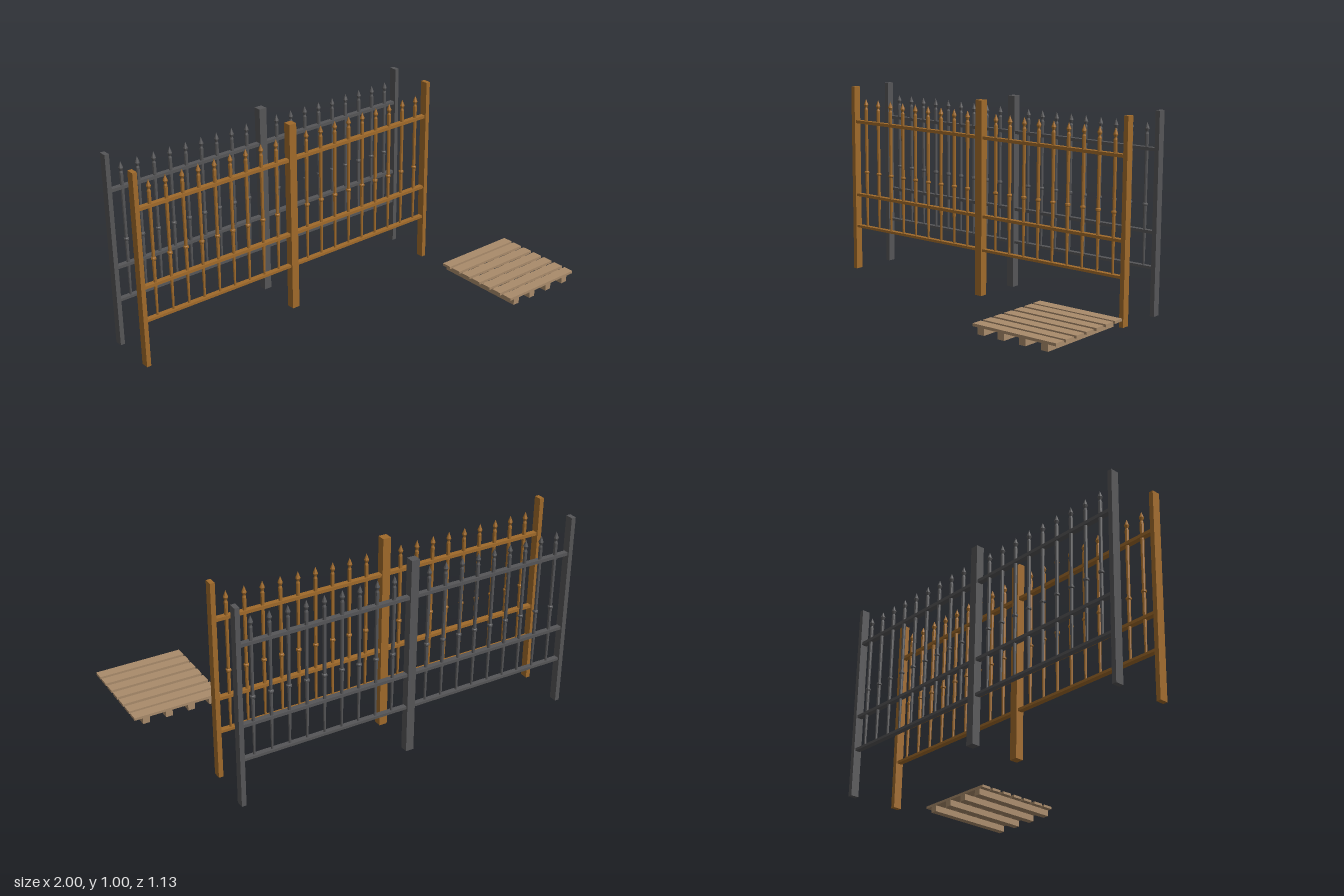
import * as THREE from 'three';

const mat = (name, color) => {
  const m = new THREE.MeshStandardMaterial({ color });
  m.name = name;
  return m;
};

function box(parent, name, material, w, h, d, x, y, z) {
  const mesh = new THREE.Mesh(new THREE.BoxGeometry(w, h, d), material);
  mesh.name = name;
  mesh.position.set(x, y, z);
  parent.add(mesh);
  return mesh;
}

// Turned picket: thin foot, swelling shaft, collar and pointed finial
function picketGeometry() {
  const profile = [
    [0, 0.235], [0.006, 0.235], [0.006, 0.27], [0.008, 0.4], [0.009, 0.532],
    [0.013, 0.536], [0.013, 0.544], [0.008, 0.548], [0.0085, 0.7], [0.0095, 0.88],
    [0.006, 0.89], [0.012, 0.905], [0, 0.937],
  ].map(([r, y]) => new THREE.Vector2(r, y));
  const smooth = new THREE.LatheGeometry(profile, 8);
  const flat = smooth.toNonIndexed();
  flat.computeVertexNormals();
  return flat;
}

function makeFence(name, material, picket) {
  const fence = new THREE.Group();
  fence.name = name;

  // Posts: two slim ends and a wide middle
  box(fence, 'endPost', material, 0.023, 0.997, 0.041, -0.9885, 0.4985, 0);
  box(fence, 'middlePost', material, 0.041, 0.997, 0.041, -0.115, 0.4985, 0);
  box(fence, 'endPost', material, 0.023, 0.997, 0.041, 0.7565, 0.4985, 0);

  // Rails across each of the two panels
  for (const [x0, x1] of [[-0.98, -0.13], [-0.1, 0.75]]) {
    for (const [y, h] of [[0.81, 0.016], [0.411, 0.015], [0.237, 0.013]]) {
      box(fence, 'rail', material, x1 - x0, h, 0.026, (x0 + x1) / 2, y, 0);
    }
  }

  // Nine pickets in each panel
  for (const start of [-0.911, -0.02]) {
    for (let i = 0; i < 9; i++) {
      const mesh = new THREE.Mesh(picket, material);
      mesh.name = 'picket';
      mesh.position.x = start + i * 0.0885;
      fence.add(mesh);
    }
  }
  return fence;
}

function makePallet(material) {
  const pallet = new THREE.Group();
  pallet.name = 'pallet';
  for (const x of [0.599, 0.709, 0.824, 0.941]) {
    box(pallet, 'bearer', material, 0.035, 0.032, 0.475, x, 0.142, 0.326);
  }
  for (const z of [0.538, 0.468, 0.396, 0.325, 0.253, 0.181, 0.114]) {
    box(pallet, 'plank', material, 0.445, 0.013, 0.053, 0.7775, 0.1645, z);
  }
  return pallet;
}

export function createModel() {
  const model = new THREE.Group();
  model.name = 'fencesAndPallet';
  const picket = picketGeometry();

  const woodFence = makeFence('brownFence', mat('brown', 0xa06a2a), picket);
  woodFence.position.z = -0.294;

  const ironFence = makeFence('greyFence', mat('darkGrey', 0x555557), picket);
  ironFence.position.set(0.009, 0, -0.543);

  model.add(woodFence, ironFence, makePallet(mat('paleWood', 0xa98b6b)));
  return model;
}
